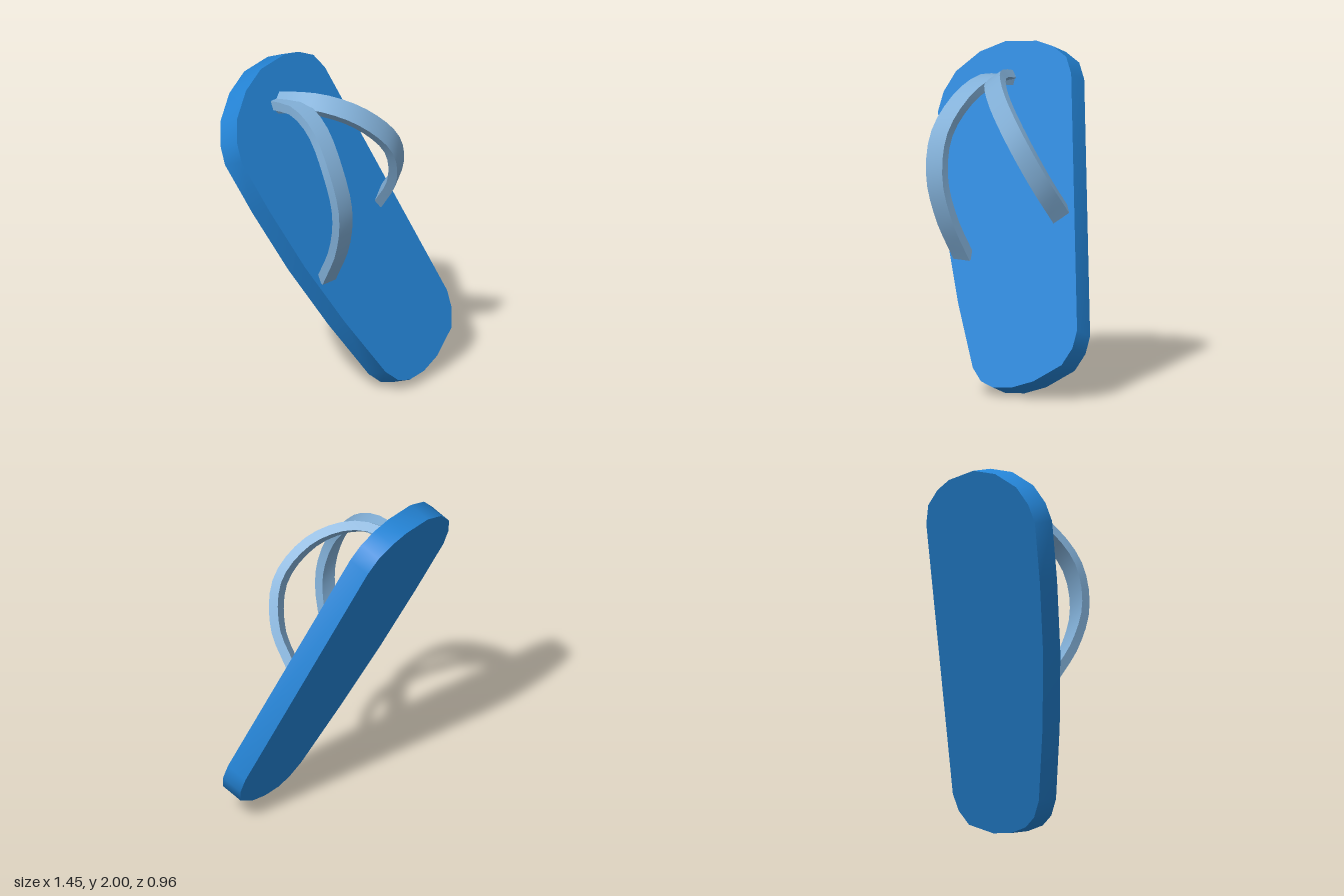
import * as THREE from 'three';
import { toCreasedNormals } from 'three/addons/utils/BufferGeometryUtils.js';

const THICKNESS = 0.138;

// Footbed outline: x across, y from heel to toe
const OUTLINE = [
  [0.141, -0.145], [0.275, -0.172], [0.427, -0.165], [0.63, -0.104], [0.709, -0.015], [0.744, 0.087],
  [0.741, 1.68], [0.708, 1.79], [0.616, 1.874], [0.506, 1.929], [0.287, 1.972], [0.101, 1.943],
  [-0.071, 1.855], [-0.161, 1.747], [-0.203, 1.636], [-0.195, 1.286], [-0.161, 0.861],
  [-0.091, 0.425], [0.003, 0.005], [0.059, -0.091],
];

// Strap centre lines: across, along, height above the footbed
const STRAP_A = [
  [0.284, 1.737, -0.01], [0.254, 1.693, 0.157], [0.18, 1.57, 0.291], [0.064, 1.348, 0.368],
  [0.002, 1.1, 0.337], [-0.028, 0.886, 0.2], [-0.049, 0.702, -0.01],
];
const STRAP_B = [
  [0.284, 1.737, -0.01], [0.31, 1.7, 0.13], [0.364, 1.628, 0.246], [0.468, 1.455, 0.355],
  [0.589, 1.197, 0.358], [0.645, 0.964, 0.201], [0.644, 0.821, -0.01],
];

// Rectangular band swept along a curve, its width square to the chord
function bandGeometry(points, width, thick, steps) {
  const curve = new THREE.CatmullRomCurve3(points.map((p) => new THREE.Vector3(...p)));
  const chord = curve.points[curve.points.length - 1].clone().sub(curve.points[0]);
  const side = new THREE.Vector3(-chord.y, chord.x, 0).normalize();
  const corners = [[-1, -1], [1, -1], [1, 1], [-1, 1]];
  const pos = [];
  const index = [];
  for (let i = 0; i <= steps; i++) {
    const c = curve.getPointAt(i / steps);
    const up = new THREE.Vector3().crossVectors(curve.getTangentAt(i / steps), side).normalize();
    for (const [a, b] of corners) {
      const v = c.clone().addScaledVector(side, a * width / 2).addScaledVector(up, b * thick / 2);
      pos.push(v.x, v.y, v.z);
    }
    if (i === steps) continue;
    for (let k = 0; k < 4; k++) {
      const a = i * 4 + k;
      const b = i * 4 + (k + 1) % 4;
      index.push(a, b, b + 4, a, b + 4, a + 4);
    }
  }
  // End caps
  const e = steps * 4;
  index.push(0, 2, 1, 0, 3, 2, e, e + 1, e + 2, e, e + 2, e + 3);
  const geo = new THREE.BufferGeometry();
  geo.setAttribute('position', new THREE.Float32BufferAttribute(pos, 3));
  geo.setIndex(index);
  return toCreasedNormals(geo, 0.8);
}

export function createModel() {
  const model = new THREE.Group();
  model.name = 'sandal';
  const soleBlue = new THREE.MeshStandardMaterial({ color: 0x2484d6 });
  soleBlue.name = 'sole blue';
  const strapBlue = new THREE.MeshStandardMaterial({ color: 0x82b0d8, side: THREE.DoubleSide });
  strapBlue.name = 'strap pale blue';

  const tilted = new THREE.Group();
  tilted.name = 'tiltedSandal';
  model.add(tilted);

  const add = (name, geometry, material) => {
    const mesh = new THREE.Mesh(geometry, material);
    mesh.name = name;
    tilted.add(mesh);
  };

  // Sole: outline extruded below the footbed
  const shape = new THREE.Shape(OUTLINE.map((p) => new THREE.Vector2(...p)));
  const sole = new THREE.ExtrudeGeometry(shape, { depth: THICKNESS, bevelEnabled: false });
  sole.translate(0, 0, -THICKNESS);
  add('sole', toCreasedNormals(sole, 0.8), soleBlue);

  // Two straps meeting at the toe post
  add('rightStrap', bandGeometry(STRAP_A, 0.12, 0.055, 18), strapBlue);
  add('leftStrap', bandGeometry(STRAP_B, 0.12, 0.055, 18), strapBlue);

  // Stand the sandal on its heel, leaning back and turned
  const normal = new THREE.Vector3(0.576, 0.364, 0.732).normalize();
  const along = new THREE.Vector3(-0.44, 0.893, -0.098);
  along.addScaledVector(normal, -along.dot(normal)).normalize();
  const across = new THREE.Vector3().crossVectors(along, normal);
  tilted.quaternion.setFromRotationMatrix(new THREE.Matrix4().makeBasis(across, along, normal));
  tilted.position.copy(normal).multiplyScalar(0.398);
  return model;
}
